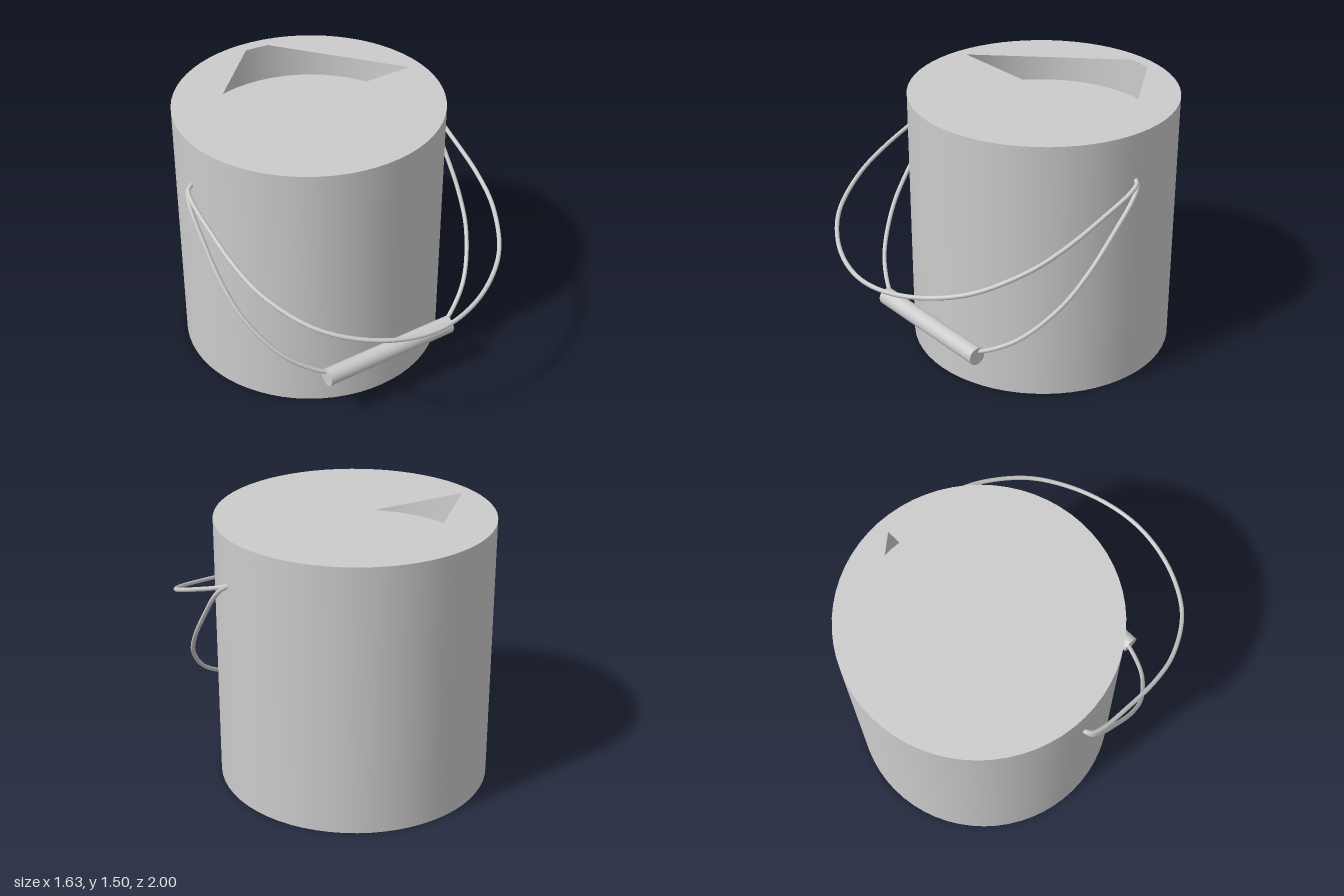
import * as THREE from 'three';

const R = 0.75, H = 1.5, INNER = 0.675, FILL = 1.28, PIVOT_Y = 1.235;

export function createModel() {
  const model = new THREE.Group();
  const material = new THREE.MeshStandardMaterial({ color: 0xcccccc });
  const thin = new THREE.MeshStandardMaterial({ color: 0xcccccc, side: THREE.DoubleSide });

  const add = (name, geometry, parent, mat = material) => {
    const mesh = new THREE.Mesh(geometry, mat);
    mesh.name = name;
    parent.add(mesh);
    return mesh;
  };

  // Bucket: outer wall, bottom and recessed inner wall
  const bucket = new THREE.Group();
  bucket.name = 'bucket';
  bucket.position.set(0.004, 0, -0.25);
  model.add(bucket);

  add('outerWall', new THREE.CylinderGeometry(R, R, H, 64, 1, true), bucket).position.y = H / 2;
  add('bottom', new THREE.CircleGeometry(R, 64), bucket).rotation.x = Math.PI / 2;
  add('innerWall', new THREE.CylinderGeometry(INNER, INNER, H - FILL, 64, 1, true), bucket, thin)
    .position.y = (H + FILL) / 2;
  const contents = add('innerFloor', new THREE.CircleGeometry(INNER, 64), bucket, thin);
  contents.rotation.x = -Math.PI / 2;
  contents.position.y = FILL;

  // Lid with a three-cornered opening towards the back
  const lidShape = new THREE.Shape().absarc(0, 0, R, 0, Math.PI * 2, false);
  const corners = [0, 78, 84, 90, 180].map((deg) => {
    const a = THREE.MathUtils.degToRad(deg);
    return new THREE.Vector2(INNER * Math.cos(a), INNER * Math.sin(a));
  });
  lidShape.holes.push(new THREE.Path(corners));
  const lid = add('lid', new THREE.ShapeGeometry(lidShape, 32), bucket, thin);
  lid.rotation.x = -Math.PI / 2;
  lid.position.y = H;

  // Wire handles: half outline as [x, distance from the pivot], mirrored
  const half = [[0.73, 0], [0.775, 0.02], [0.797, 0.09], [0.8, 0.3], [0.787, 0.56],
    [0.74, 0.78], [0.6, 1.04], [0.41, 1.2]];
  const wire = (name, middle, endY, endZ) => {
    const side = [...half, ...middle];
    const outline = [...side, ...side.filter(([x]) => x > 0).reverse().map(([x, s]) => [-x, s])];
    const dir = new THREE.Vector2(endZ + 0.24, endY - PIVOT_Y).normalize();
    const points = outline.map(([x, s]) =>
      new THREE.Vector3(x, PIVOT_Y + s * dir.y, -0.24 + s * dir.x));
    const curve = new THREE.CatmullRomCurve3(points, false, 'centripetal');
    add(name, new THREE.TubeGeometry(curve, 120, 0.0125, 10, false), model, thin);
  };
  wire('upperHandle', [[0.2, 1.293], [0, 1.323]], 0.745, 0.985);
  wire('lowerHandle', [[0.34, 1.225], [0, 1.235]], 0.305, 0.565);

  // Grip on the lower handle
  const grip = add('grip', new THREE.CylinderGeometry(0.05, 0.05, 0.825, 32), model);
  grip.rotation.z = Math.PI / 2;
  grip.position.set(-0.002, 0.303, 0.565);

  return model;
}
